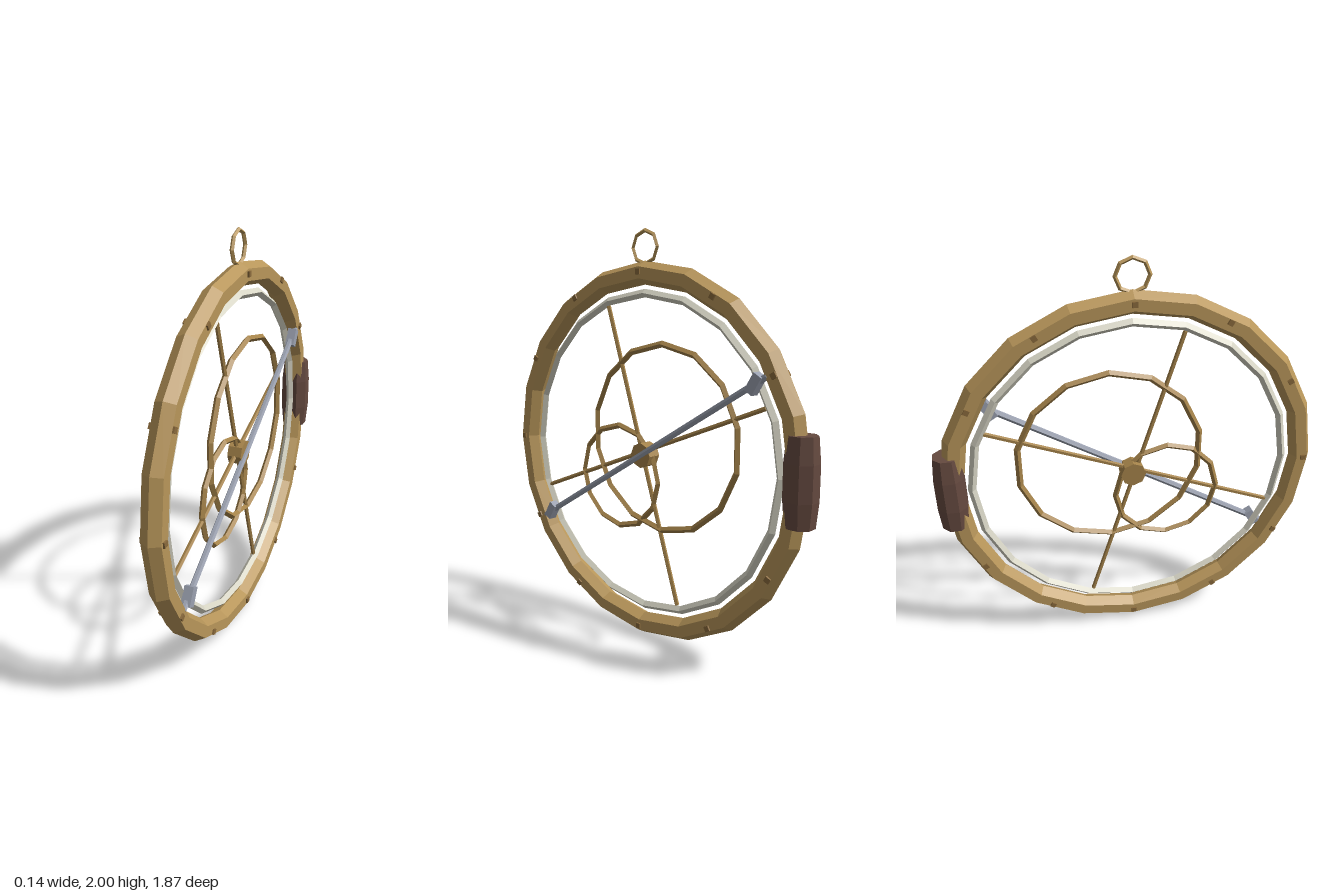
import * as THREE from 'three';

const mat = (name, color) => {
  const m = new THREE.MeshStandardMaterial({ color, flatShading: true });
  m.name = name;
  return m;
};

export function createModel() {
  const brass = mat('brass', 0xb8965a);
  const agedBrass = mat('aged brass', 0xa5834a);
  const bronze = mat('dark bronze', 0x8a6a3c);
  const silver = mat('pale silver', 0xd8d6c6);
  const steel = mat('steel', 0x9ba1b0);
  const leather = mat('brown leather', 0x664a40);

  // The disc is built in its own XY plane, then turned to face +x
  const disc = new THREE.Group();
  disc.name = 'disc';
  disc.rotation.y = Math.PI / 2;
  disc.position.set(0, 0.926, 0.012);

  const add = (name, geometry, material, x = 0, y = 0, z = 0, turn = 0) => {
    const mesh = new THREE.Mesh(geometry, material);
    mesh.name = name;
    mesh.position.set(x, y, z);
    mesh.rotation.z = turn;
    disc.add(mesh);
    return mesh;
  };
  const ring = (name, R, r, sides, segments, material, x = 0, y = 0) =>
    add(name, new THREE.TorusGeometry(R, r, sides, segments), material, x, y, 0, Math.PI / 2);
  // Straight rod between two points at one depth
  const rod = (name, x1, y1, x2, y2, z, r, sides, material) => {
    const length = Math.hypot(x2 - x1, y2 - y1);
    return add(name, new THREE.CylinderGeometry(r, r, length, sides), material,
      (x1 + x2) / 2, (y1 + y2) / 2, z, Math.atan2(y2 - y1, x2 - x1) - Math.PI / 2);
  };

  // Concentric and offset rings
  ring('outerRing', 0.871, 0.055, 6, 20, brass);
  ring('innerRing', 0.777, 0.02, 4, 20, silver);
  ring('largeOffsetRing', 0.452, 0.016, 4, 14, agedBrass, 0.109, 0.09);
  ring('smallOffsetRing', 0.26, 0.015, 4, 12, agedBrass, -0.175, -0.133);
  ring('hangingRing', 0.077, 0.01, 4, 8, brass, 0, 0.987);

  // Crossed spokes and hub
  rod('longSpoke', -0.244, 0.716, 0.212, -0.721, 0, 0.011, 5, agedBrass);
  rod('crossSpoke', -0.716, -0.265, 0.695, 0.292, 0, 0.011, 5, agedBrass);
  const hub = new THREE.CylinderGeometry(0.062, 0.062, 0.07, 8);
  hub.rotateX(Math.PI / 2);
  add('hub', hub, agedBrass);

  // Sighting bar with a plate near each end
  rod('sightBar', -0.72, -0.433, 0.72, 0.433, 0.037, 0.015, 6, steel);
  for (const s of [-1, 1]) {
    add('sightPlate', new THREE.BoxGeometry(0.09, 0.045, 0.045), steel,
      s * 0.662, s * 0.397, 0.038, Math.PI * 59 / 180);
  }

  // Studs on both faces of the outer ring
  for (let i = 0; i < 12; i++) {
    const a = i * Math.PI / 6;
    for (const s of [-1, 1]) {
      add('stud', new THREE.BoxGeometry(0.026, 0.026, 0.026), bronze,
        0.875 * Math.cos(a), 0.875 * Math.sin(a), s * 0.043, a);
    }
  }

  // Slightly bulged eight-sided grip
  const profile = [[0, -0.195], [0.066, -0.195], [0.077, -0.08], [0.077, 0.08], [0.066, 0.195], [0, 0.195]]
    .map(([x, y]) => new THREE.Vector2(x, y));
  const grip = new THREE.LatheGeometry(profile, 8);
  grip.rotateY(Math.PI / 8);
  add('grip', grip, leather, 0.875, 0.005);

  const model = new THREE.Group();
  model.name = 'ringInstrument';
  model.add(disc);
  return model;
}
